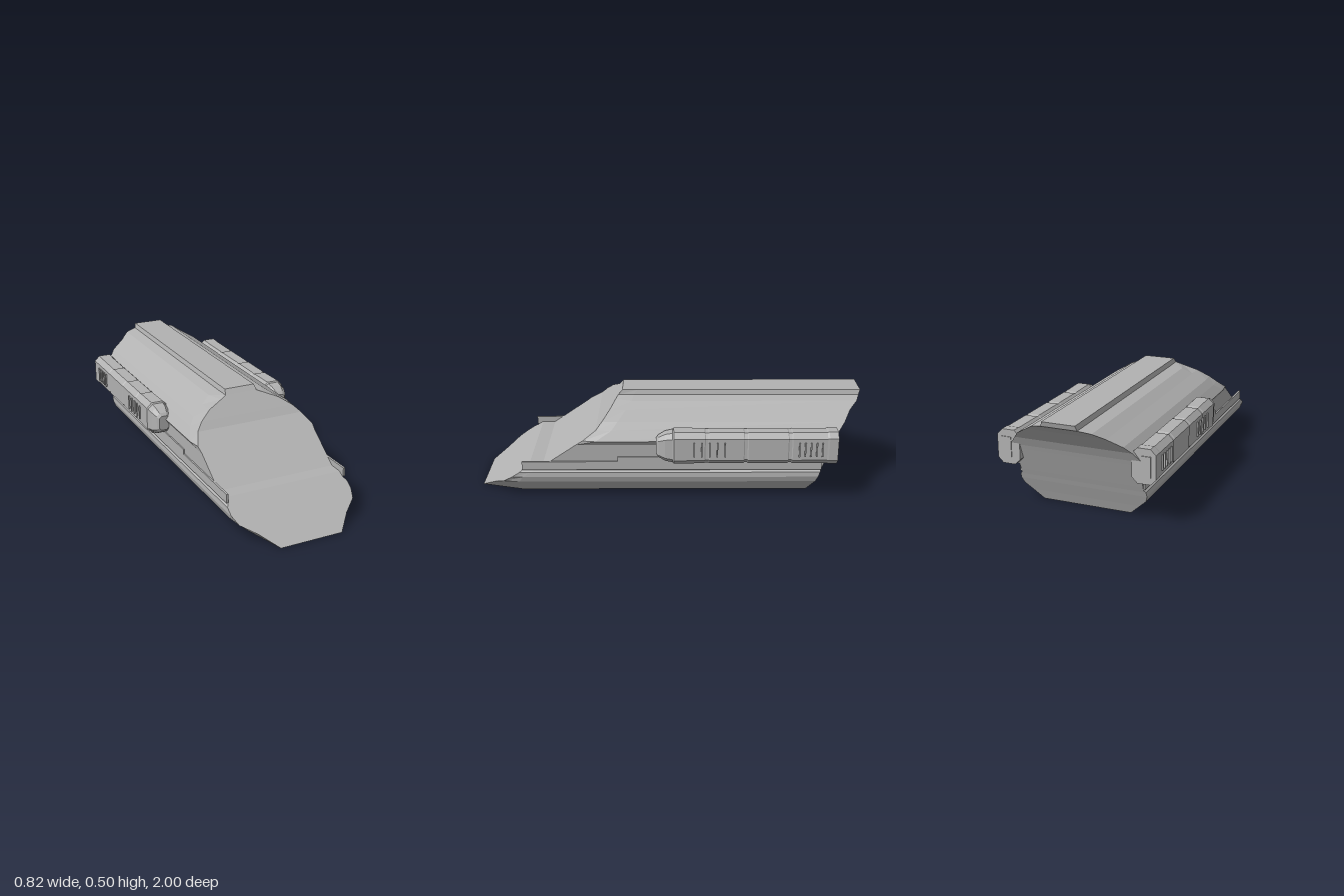
import * as THREE from 'three';

const hullGrey = new THREE.MeshStandardMaterial({ color: 0xb2b2b2 });
hullGrey.name = 'hull grey';

// Lofts stations (front to back) made of mirrored rows [halfWidth, y, z], flat shaded, capped in strips.
function loft(stations) {
  const pos = [];
  const quad = (a, b, c, d) => pos.push(...a, ...b, ...c, ...a, ...c, ...d);
  const mirror = ([x, y, z]) => [-x, y, z];
  const rings = stations.map(s => [...s, ...s.map(mirror).reverse()]);
  for (let s = 0; s < rings.length - 1; s++) {
    const A = rings[s], B = rings[s + 1];
    for (let j = 0; j < A.length; j++) {
      const k = (j + 1) % A.length;
      quad(A[j], B[j], B[k], A[k]);
    }
  }
  const front = stations[0], back = stations[stations.length - 1];
  for (let i = 0; i < front.length - 1; i++) {
    quad(mirror(front[i]), front[i], front[i + 1], mirror(front[i + 1]));
    quad(back[i], mirror(back[i]), mirror(back[i + 1]), back[i + 1]);
  }
  const g = new THREE.BufferGeometry();
  g.setAttribute('position', new THREE.Float32BufferAttribute(pos, 3));
  g.computeVertexNormals();
  return g;
}

function add(parent, name, geometry, x = 0, y = 0, z = 0) {
  const m = new THREE.Mesh(geometry, hullGrey);
  m.name = name;
  m.position.set(x, y, z);
  parent.add(m);
  return m;
}

// Hull rows: y, half width at the nose, half width behind it, nose z, z where the nose taper ends, tail z
const hullRows = [
  [0, 0.165, 0.23, 1, 0.78, -0.72],
  [0.05, 0.24, 0.283, 0.921, 0.78, -0.739],
  [0.085, 0.31, 0.32, 0.865, 0.78, -0.753],
  [0.115, 0.328, 0.33, 0.817, 0.76, -0.765],
  [0.14, 0.328, 0.328, 0.778, 0.72, -0.774],
  [0.15, 0.318, 0.318, 0.762, 0.7, -0.778],
  [0.17, 0.318, 0.318, 0.73, 0.6, -0.786],
  [0.17, 0.318, 0.318, 0.66, 0.6, -0.786],
  [0.29, 0.32, 0.32, 0.483, 0.42, -0.832],
  [0.315, 0.325, 0.336, 0.446, 0.38, -0.842],
  [0.36, 0.295, 0.3, 0.38, 0.3, -0.865],
  [0.395, 0.26, 0.268, 0.349, 0.27, -0.895],
  [0.435, 0.2, 0.2, 0.313, 0.23, -0.93],
  [0.467, 0.12, 0.15, 0.284, 0.2, -0.972],
  [0.48, 0.088, 0.09, 0.272, 0.19, -0.992],
  [0.505, 0.083, 0.083, 0.25, 0.17, -1],
];

// Chamfered pod section at a given z, shrunk by a scale
function podSection(z, s, sy = s) {
  const w = 0.059, h = 0.086, c = 0.027;
  return [[w - c, -h], [w, -h + c], [w, h - c], [w - c, h]].map(([x, y]) => [x * s, y * sy, z]);
}

function makePod() {
  const pod = new THREE.Group();
  const stations = [
    podSection(0.072, 0.45), podSection(0.06, 0.62), podSection(0.025, 0.84),
    podSection(-0.012, 0.92), podSection(-0.018, 1), podSection(-0.035, 1),
  ];
  // Panel grooves along the pod
  for (const z of [-0.185, -0.382, -0.605]) {
    stations.push(podSection(z + 0.012, 0.97), podSection(z + 0.007, 0.93),
      podSection(z - 0.007, 0.93), podSection(z - 0.012, 0.97));
  }
  stations.push(podSection(-0.79, 0.97), podSection(-0.8, 1), podSection(-0.845, 1));
  add(pod, 'podBody', loft(stations));

  // Two rows of vent slats on the outer face
  const slat = new THREE.BoxGeometry(0.01, 0.075, 0.007);
  for (const [start, step] of [[-0.12, -0.039], [-0.65, -0.029]]) {
    for (let i = 0; i < 5; i++) add(pod, 'ventSlat', slat, 0.0595, 0, start + i * step);
  }
  // Rear frame plate
  add(pod, 'rearPlate', new THREE.BoxGeometry(0.05, 0.1, 0.006), 0.01, 0, -0.846);
  return pod;
}

export function createModel() {
  const model = new THREE.Group();
  model.name = 'model';

  // Hull with raked nose, ridge and overhanging tail
  add(model, 'hull', loft([
    hullRows.map(([y, w, , z]) => [w, y, z]),
    hullRows.map(([y, , w, , z]) => [w, y, z]),
    hullRows.map(([y, , w, , , z]) => [w, y, z]),
  ]));

  for (const side of [1, -1]) {
    const name = side > 0 ? 'left' : 'right';

    // Side rails, stepping up further back
    const rail = (y0, y1, z0, z1) => add(model, name + 'Rail',
      new THREE.BoxGeometry(0.011, y1 - y0, z0 - z1), side * 0.3205, (y0 + y1) / 2, (z0 + z1) / 2);
    rail(0.155, 0.2, 0.762, -0.78);
    rail(0.2, 0.225, 0.27, -0.795);

    // Side pods, turned so the slats face outward
    const pod = makePod();
    pod.name = name + 'Pod';
    pod.position.set(side * 0.346, 0.298, 0);
    if (side < 0) {
      pod.children.forEach(part => { part.position.x *= -1; });
    }
    model.add(pod);
  }
  return model;
}
